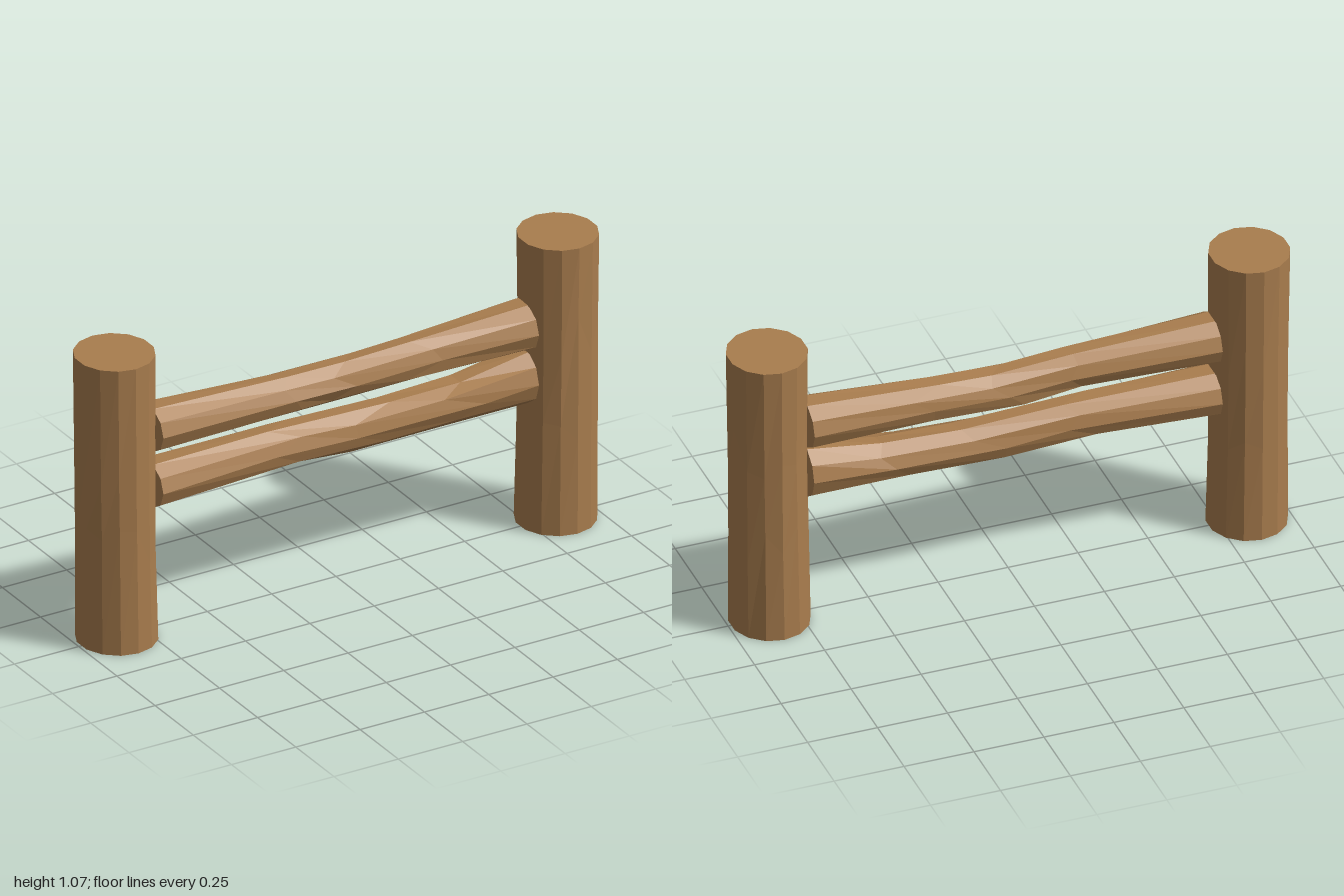
import * as THREE from 'three';

// Repeatable noise in -1..1
const noise = (a, b, seed) => {
  const s = Math.sin(a * 12.9898 + b * 78.233 + seed * 37.719) * 43758.5453;
  return 2 * (s - Math.floor(s)) - 1;
};

// Hewn log along +y: stations run from top to bottom as
// [position, centreX, centreZ, radiusX, radiusZ]
function logGeometry(stations, sides, rough, seed) {
  const rows = stations.length - 1;
  const geometry = new THREE.CylinderGeometry(1, 1, 1, sides, rows);
  const p = geometry.attributes.position;
  for (let i = 0; i < p.count; i++) {
    const x = p.getX(i), z = p.getZ(i);
    const row = Math.round((0.5 - p.getY(i)) * rows);
    const side = (Math.round(Math.atan2(z, x) / (Math.PI * 2) * sides * 4) + sides * 4) % (sides * 4);
    const [along, cx, cz, rx, rz] = stations[row];
    const inner = row > 0 && row < rows;
    const k = inner ? 1 + rough * noise(row, side, seed) : 1;
    const shift = inner ? 0.09 * noise(side, row, seed + 5) : 0;
    p.setXYZ(i, cx + x * rx * k, along + shift, cz + z * rz * k);
  }
  const flat = geometry.toNonIndexed(); // separate faces keep the facets crisp
  flat.computeVertexNormals();
  return flat;
}

export function createModel() {
  const group = new THREE.Group();
  const wood = new THREE.MeshStandardMaterial({ color: 0xa97d4e });
  wood.name = 'brown wood';

  const add = (name, geometry) => {
    const mesh = new THREE.Mesh(geometry, wood);
    mesh.name = name;
    group.add(mesh);
  };

  // Upright posts, a little wider at the foot
  for (const [name, side, seed] of [['leftPost', 1, 2], ['rightPost', -1, 7]]) {
    add(name, logGeometry([
      [1.07, side * 0.862, 0, 0.138, 0.143],
      [0.72, side * 0.86, 0, 0.134, 0.14],
      [0.38, side * 0.857, 0, 0.135, 0.141],
      [0, side * 0.853, 0, 0.139, 0.145],
    ], 14, 0.02, seed));
  }

  // Rails between the posts, thinner in the middle: [x, bottom, top, back, front]
  const rails = {
    upperRail: [
      [0.73, 0.67, 0.845, -0.105, 0.1],
      [0.3, 0.675, 0.82, -0.09, 0.075],
      [0.02, 0.665, 0.81, -0.085, 0.07],
      [-0.25, 0.675, 0.82, -0.07, 0.08],
      [-0.73, 0.67, 0.84, -0.1, 0.1],
    ],
    lowerRail: [
      [0.73, 0.47, 0.67, -0.1, 0.1],
      [0.45, 0.472, 0.625, -0.085, 0.085],
      [0.12, 0.465, 0.615, -0.085, 0.075],
      [-0.2, 0.48, 0.63, -0.085, 0.08],
      [-0.73, 0.46, 0.63, -0.1, 0.1],
    ],
  };
  Object.entries(rails).forEach(([name, rows], n) => {
    // rotating the log onto its side turns its x into -y
    const stations = rows.map(([x, bottom, top, back, front]) =>
      [x, -(bottom + top) / 2, (back + front) / 2, (top - bottom) / 2, (front - back) / 2]);
    add(name, logGeometry(stations, 10, 0.05, 11 + n * 4).rotateZ(-Math.PI / 2));
  });

  return group;
}
